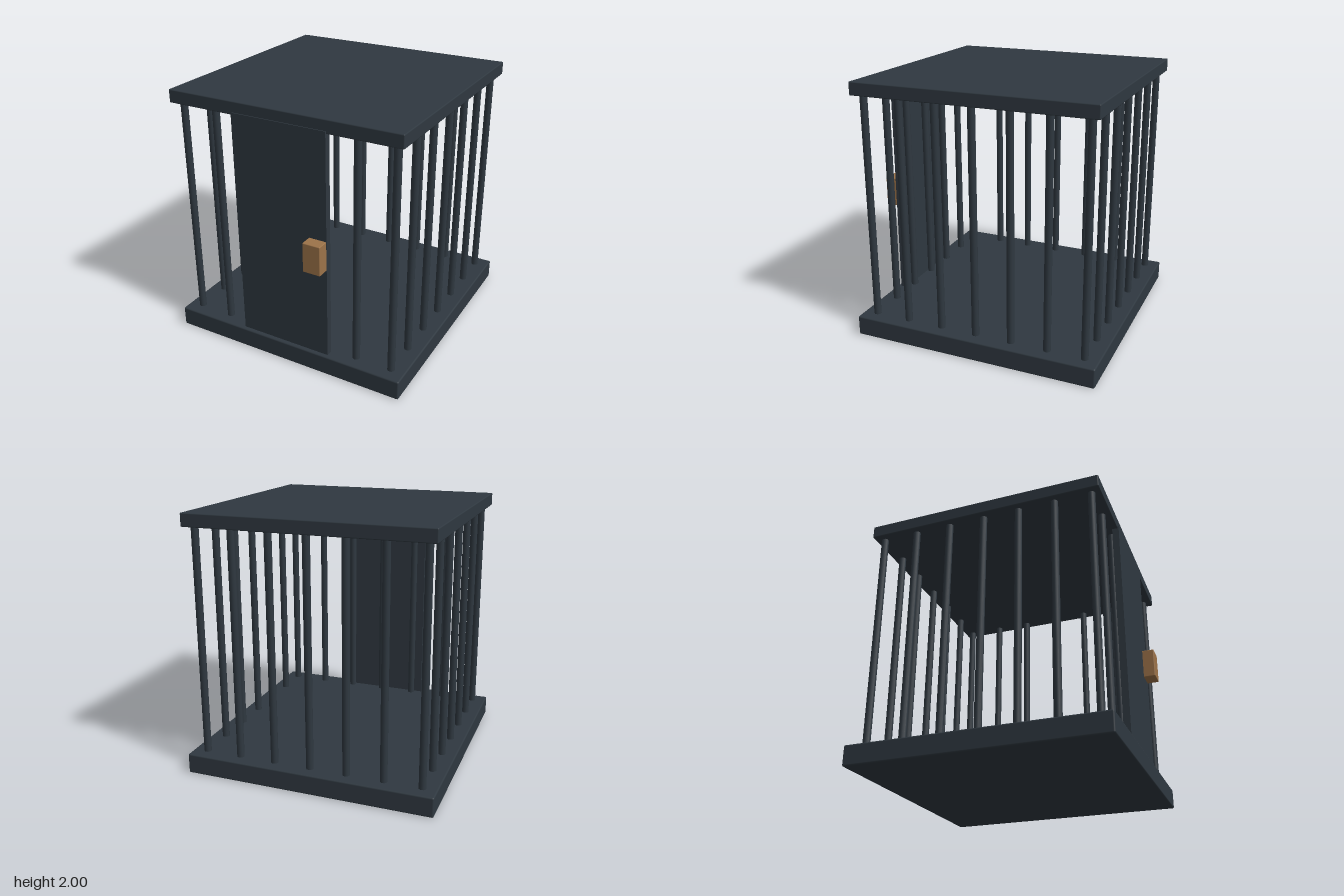
import * as THREE from 'three';
import { RoundedBoxGeometry } from 'three/addons/geometries/RoundedBoxGeometry.js';

export function createModel() {
  const iron = new THREE.MeshStandardMaterial({ color: 0x2f3840 });
  iron.name = 'dark iron';
  const brass = new THREE.MeshStandardMaterial({ color: 0x9c7349 });
  brass.name = 'brass brown';

  const cage = new THREE.Group();
  cage.name = 'cage';
  const midZ = -0.025;

  // Box given by its lower and upper corners, with a slight edge bevel
  function slab(name, min, max, bevel, material) {
    const size = max.map((v, i) => v - min[i]);
    const geometry = bevel
      ? new RoundedBoxGeometry(...size, 2, bevel)
      : new THREE.BoxGeometry(...size);
    const mesh = new THREE.Mesh(geometry, material);
    mesh.position.set(...max.map((v, i) => (v + min[i]) / 2));
    mesh.name = name;
    cage.add(mesh);
  }

  // Floor and roof
  slab('base', [-0.966, 0, midZ - 0.966], [0.966, 0.155, midZ + 0.966], 0.012, iron);
  slab('roof', [-0.927, 1.9, midZ - 0.927], [0.927, 2, midZ + 0.927], 0.008, iron);

  // Door with its lock box
  slab('door', [-0.372, 0.15, 0.858], [0.372, 1.92, 0.91], 0, iron);
  slab('lock', [0.23, 0.88, 0.9], [0.37, 1.11, 1], 0.006, brass);

  // Bars around the edge of a seven by seven layout
  const bars = new THREE.Group();
  bars.name = 'bars';
  const barGeometry = new THREE.CylinderGeometry(0.028, 0.028, 1.8, 12);
  const spacing = 0.285;
  for (let i = -3; i <= 3; i++) {
    for (let j = -3; j <= 3; j++) {
      if (Math.max(Math.abs(i), Math.abs(j)) < 3) continue;
      const bar = new THREE.Mesh(barGeometry, iron);
      bar.position.set(i * spacing, 1.03, midZ + j * spacing);
      bar.name = 'bar';
      bars.add(bar);
    }
  }
  cage.add(bars);

  return cage;
}
